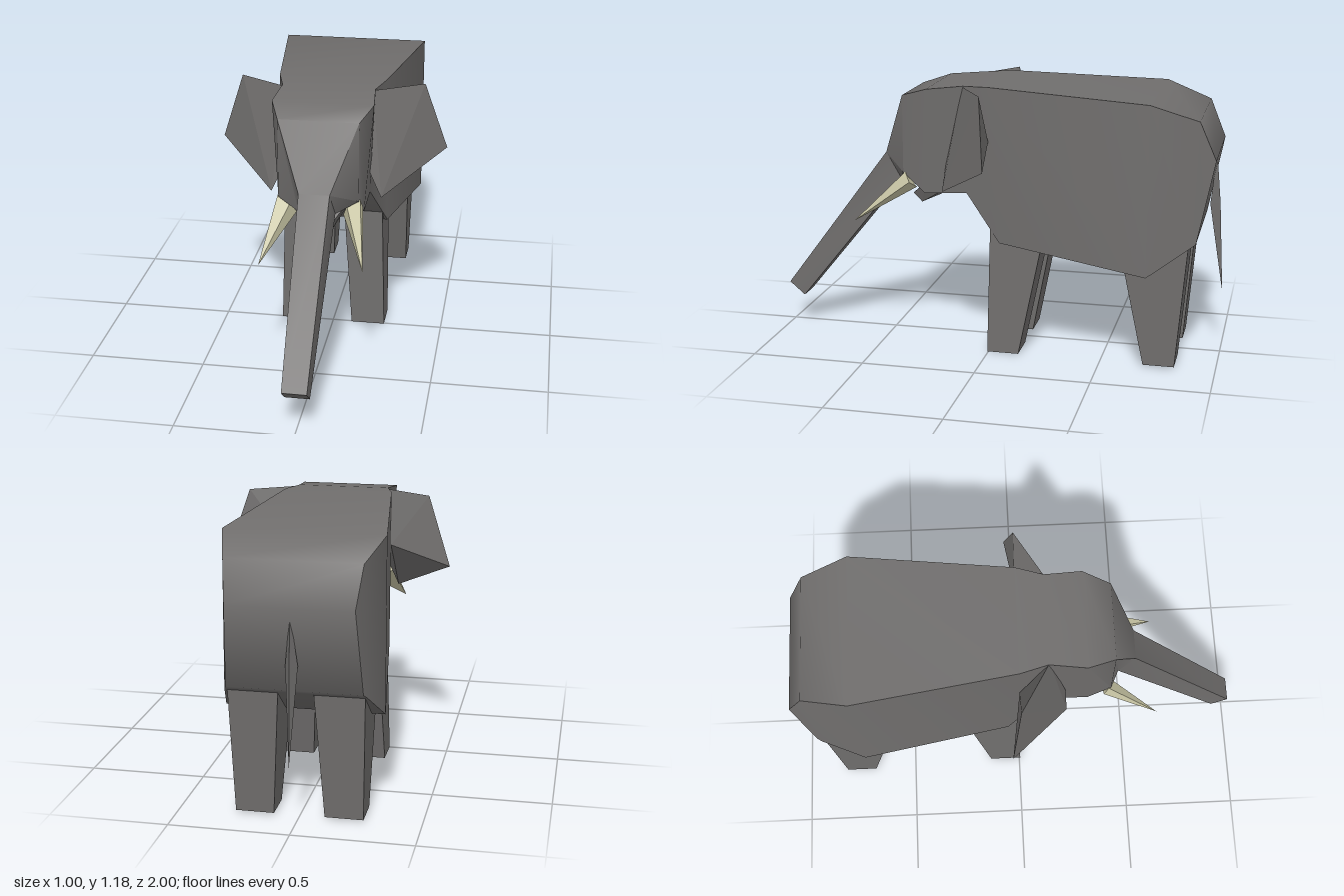
import * as THREE from 'three';
import { toCreasedNormals } from 'three/addons/utils/BufferGeometryUtils.js';
import { ConvexGeometry } from 'three/addons/geometries/ConvexGeometry.js';

const skin = new THREE.MeshStandardMaterial({ name: 'grey skin', color: 0x706e6d });
const ivory = new THREE.MeshStandardMaterial({ name: 'ivory', color: 0xcac7a6 });

// Four-cornered cross-sections, back to front: top [z, y, halfWidth], bottom [z, y, halfWidth]
function loft(sections) {
  const rings = sections.map(([[tz, ty, tw], [bz, by, bw]]) => [
    [tw, ty, tz], [-tw, ty, tz], [-bw, by, bz], [bw, by, bz],
  ]);
  const pos = [];
  const quad = (a, b, c, d) => pos.push(...a, ...b, ...c, ...a, ...c, ...d);
  for (let i = 0; i < rings.length - 1; i++) {
    for (let k = 0; k < 4; k++) {
      const n = (k + 1) % 4;
      quad(rings[i][k], rings[i][n], rings[i + 1][n], rings[i + 1][k]);
    }
  }
  const first = rings[0], last = rings[rings.length - 1];
  quad(first[0], first[3], first[2], first[1]);
  quad(last[0], last[1], last[2], last[3]);
  const geo = new THREE.BufferGeometry();
  geo.setAttribute('position', new THREE.Float32BufferAttribute(pos, 3));
  return toCreasedNormals(geo, 0.9);
}

// Faceted solid around a few corners, mirrored in x by side
const hull = (points, side = 1) =>
  new ConvexGeometry(points.map(([x, y, z]) => new THREE.Vector3(x * side, y, z)));

// Eight corners of a tapered leg: each end is [y, innerX, outerX, frontZ, backZ]
const legCorners = (...ends) => ends.flatMap(([y, x0, x1, z0, z1]) =>
  [[x0, y, z0], [x1, y, z0], [x0, y, z1], [x1, y, z1]]);

export function createModel() {
  const model = new THREE.Group();
  const add = (name, geo, mat = skin) => {
    const mesh = new THREE.Mesh(geo, mat);
    mesh.name = name;
    model.add(mesh);
  };

  // Rump, body, neck, head and trunk in one skin
  add('bodyHeadAndTrunk', loft([
    [[-0.97, 0.92, 0.255], [-0.9, 0.565, 0.275]],
    [[-0.9, 1.085, 0.275], [-0.88, 0.55, 0.285]],
    [[-0.7, 1.155, 0.33], [-0.7, 0.42, 0.33]],
    [[0, 1.185, 0.235], [-0.05, 0.505, 0.24]],
    [[0.12, 1.18, 0.2], [0.11, 0.705, 0.18]],
    [[0.28, 1.163, 0.215], [0.3, 0.695, 0.18]],
    [[0.4, 1.125, 0.17], [0.4, 0.78, 0.17]],
    [[0.51, 0.845, 0.065], [0.44, 0.735, 0.078]],
    [[1, 0.195, 0.052], [0.93, 0.135, 0.052]],
  ]));

  // Lower lip
  add('lowerLip', hull([-1, 1].flatMap((s) => [
    [s * 0.1, 0.72, 0.15], [s * 0.1, 0.69, 0.24], [s * 0.1, 0.72, 0.32],
    [s * 0.05, 0.66, 0.39], [s * 0.05, 0.62, 0.35],
  ])));

  for (const side of [1, -1]) {
    const label = side > 0 ? 'left' : 'right';

    // Ear, flat in front and wedge-shaped behind
    add(label + 'Ear', hull([
      [0.19, 1.175, 0.125], [0.4, 1.175, 0], [0.5, 0.875, -0.038],
      [0.24, 0.72, 0.205], [0.19, 0.83, 0.2], [0.235, 0.95, 0],
    ], side));

    // Tusk
    add(label + 'Tusk', hull([
      [0.175, 0.785, 0.39], [0.185, 0.74, 0.37], [0.1, 0.7, 0.36],
      [0.12, 0.755, 0.4], [0.217, 0.56, 0.615],
    ], side), ivory);

    // Legs
    add(label + 'FrontLeg', hull(legCorners(
      [0, 0.087, 0.238, 0.005, -0.135], [0.56, 0.05, 0.222, -0.005, -0.245]), side));
    add(label + 'BackLeg', hull(legCorners(
      [0.008, 0.105, 0.264, -0.69, -0.825], [0.58, 0.07, 0.278, -0.57, -0.872]), side));
  }

  // Tail
  add('tail', hull([
    [0, 0.9, -0.955], [0.025, 0.68, -0.935], [-0.025, 0.68, -0.935],
    [0, 0.68, -0.977], [0, 0.28, -1],
  ]));

  return model;
}
